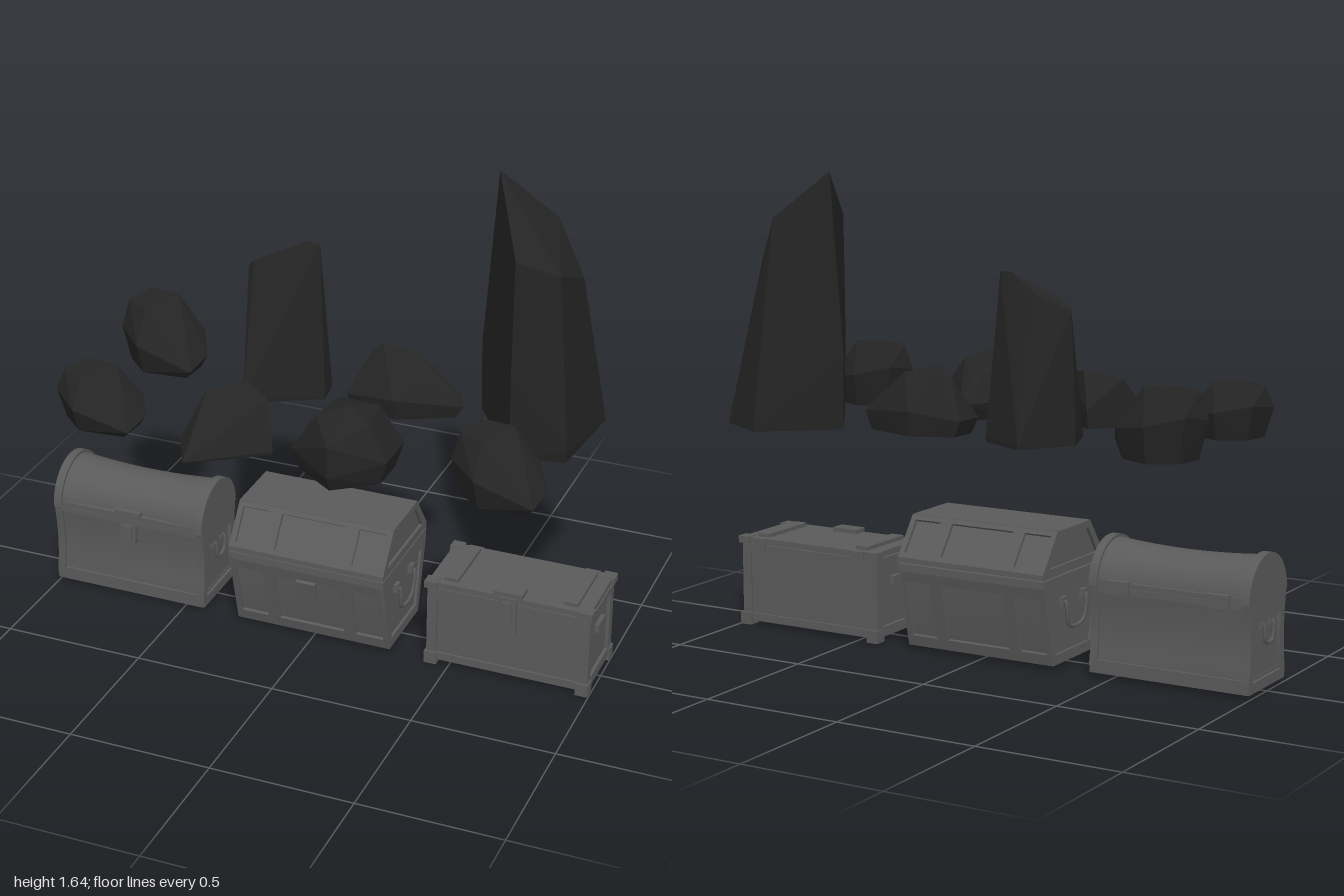
import * as THREE from 'three';
import { toCreasedNormals } from 'three/addons/utils/BufferGeometryUtils.js';
import { ConvexGeometry } from 'three/addons/geometries/ConvexGeometry.js';

const chestMat = new THREE.MeshStandardMaterial({ color: 0x5a5a5a });
const rockMat = new THREE.MeshStandardMaterial({ color: 0x242424, flatShading: true });

function add(parent, name, geo, x = 0, y = 0, z = 0, mat = chestMat) {
  const m = new THREE.Mesh(geo, mat);
  m.name = name;
  m.position.set(x, y, z);
  parent.add(m);
  return m;
}
const box = (parent, name, w, h, d, x, y, z) => add(parent, name, new THREE.BoxGeometry(w, h, d), x, y, z);

function group(parent, name, x = 0) {
  const g = new THREE.Group();
  g.name = name;
  g.position.x = x;
  parent.add(g);
  return g;
}

// Half profile [z, y] from bottom to top, mirrored in z and extruded along x
function prism(half, width, hole) {
  const toShape = h => [...h, ...[...h].reverse().map(([z, y]) => [-z, y])].map(p => new THREE.Vector2(...p));
  const s = new THREE.Shape(toShape(half));
  if (hole) s.holes.push(new THREE.Path(toShape(hole)));
  const g = new THREE.ExtrudeGeometry(s, { depth: width, bevelEnabled: false });
  return toCreasedNormals(g.translate(0, 0, -width / 2).rotateY(Math.PI / 2), 0.5);
}

function rect(path, x, y, w, h) {
  path.moveTo(x - w / 2, y - h / 2);
  path.lineTo(x + w / 2, y - h / 2);
  path.lineTo(x + w / 2, y + h / 2);
  path.lineTo(x - w / 2, y + h / 2);
  path.closePath();
  return path;
}

// Flat plate with rectangular openings [x, y, w, h], facing +z with its face at z = 0
function frame(w, h, holes, depth) {
  const s = rect(new THREE.Shape(), 0, 0, w, h);
  holes.forEach(o => s.holes.push(rect(new THREE.Path(), ...o)));
  return new THREE.ExtrudeGeometry(s, { depth, bevelEnabled: false }).translate(0, 0, -depth);
}

// Shield-shaped lock plate
function lockPlate(w, h, depth) {
  const s = new THREE.Shape();
  s.moveTo(-w / 2, h / 2);
  s.lineTo(-w / 2, -h / 5);
  s.quadraticCurveTo(-w / 2, -h / 2, 0, -h / 2);
  s.quadraticCurveTo(w / 2, -h / 2, w / 2, -h / 5);
  s.lineTo(w / 2, h / 2);
  return new THREE.ExtrudeGeometry(s, { depth, bevelEnabled: false });
}

// Hanging U handle on an end face
function handle(parent, side, x, y, halfWidth, drop) {
  const pts = [[0, halfWidth], [0.012, halfWidth], [0.014, halfWidth * 0.7, drop], [0.014, -halfWidth * 0.7, drop],
    [0.012, -halfWidth], [0, -halfWidth]].map(([dx, z, d = 0]) => new THREE.Vector3(side * (x + dx), y - d, z));
  add(parent, 'handle', new THREE.TubeGeometry(new THREE.CatmullRomCurve3(pts), 24, 0.007, 6));
  for (const z of [-halfWidth, halfWidth]) box(parent, 'handleMount', 0.02, 0.03, 0.03, side * x, y, z);
}

// Half barrel along x, pinched in the middle
function barrel(r, length, pinch) {
  const g = new THREE.CylinderGeometry(r, r, length, 24, 12, false, 0, Math.PI).rotateZ(Math.PI / 2);
  const p = g.attributes.position;
  for (let i = 0; i < p.count; i++) {
    const t = p.getX(i) / (length / 2), k = 1 - pinch * (1 - t * t);
    p.setXYZ(i, p.getX(i), p.getY(i) * k, p.getZ(i) * k);
  }
  return toCreasedNormals(g, 0.6);
}

function barrelChest(root) {
  const g = group(root, 'barrelChest', -0.71);
  const side = [[0.135, 0.015], [0.138, 0.05], [0.129, 0.11], [0.126, 0.17], [0.13, 0.24], [0.14, 0.312]];
  const inset = side.map(([z, y]) => [z - 0.01, y]);
  const opening = side.slice(1, 5).map(([z, y]) => [z - 0.03, y]);
  add(g, 'body', prism(inset, 0.555));
  for (const s of [-1, 1]) {
    add(g, 'endFrame', prism(side, 0.027, opening), s * 0.2765);
    add(g, 'lidBand', barrel(0.146, 0.03, 0), s * 0.275, 0.312);
    handle(g, s, 0.28, 0.23, 0.035, 0.06);
    box(g, 'hinge', 0.08, 0.045, 0.022, s * 0.18, 0.315, -0.145);
  }
  box(g, 'bottomBand', 0.56, 0.045, 0.273, 0, 0.0375, 0);
  box(g, 'topBand', 0.56, 0.02, 0.275, 0, 0.302, 0);
  add(g, 'lid', barrel(0.138, 0.55, 0.11), 0, 0.312);
  box(g, 'lidRim', 0.56, 0.018, 0.275, 0, 0.322, 0);
  box(g, 'latch', 0.1, 0.02, 0.02, 0, 0.337, 0.135);
  add(g, 'lockPlate', lockPlate(0.06, 0.085, 0.02), 0, 0.252, 0.122);
  add(g, 'lockTongue', lockPlate(0.035, 0.06, 0.008), 0, 0.26, 0.142);
}

function slopedChest(root) {
  const g = group(root, 'slopedChest');
  const body = [[0.14, 0.015], [0.208, 0.29], [0.208, 0.314]];
  const lid = [[0.21, 0.32], [0.21, 0.338], [0.112, 0.47]];
  const shrink = (pr, d) => pr.map(([z, y]) => [z - d, y]);
  add(g, 'body', prism(shrink(body, 0.012), 0.55));
  add(g, 'lid', prism([[0.197, 0.32], [0.197, 0.338], [0.1, 0.465]], 0.55));
  box(g, 'lidTop', 0.57, 0.014, 0.226, 0, 0.463, 0);
  box(g, 'lidRim', 0.57, 0.018, 0.42, 0, 0.329, 0);
  box(g, 'bodyRim', 0.57, 0.026, 0.416, 0, 0.302, 0);
  const panels = h => [[-0.215, 0, 0.1, h], [0, 0, 0.24, h], [0.215, 0, 0.1, h]];
  for (const turn of [0, Math.PI]) {
    const f = group(g, turn ? 'backPanels' : 'frontPanels');
    f.rotation.y = turn;
    add(f, 'bodyFrame', frame(0.57, 0.283, panels(0.205), 0.012), 0, 0.1525, 0.174).rotation.x = Math.atan2(0.068, 0.275);
    add(f, 'lidFrame', frame(0.57, 0.164, panels(0.125), 0.012), 0, 0.404, 0.161).rotation.x = -Math.atan2(0.098, 0.132);
  }
  for (const s of [-1, 1]) {
    add(g, 'bodyEndFrame', prism(body, 0.014, [[0.118, 0.05], [0.165, 0.255]]), s * 0.278);
    add(g, 'lidEndFrame', prism(lid, 0.014, [[0.165, 0.35], [0.1, 0.445]]), s * 0.278);
    handle(g, s, 0.28, 0.225, 0.07, 0.085);
  }
  add(g, 'lockPlate', lockPlate(0.07, 0.07, 0.02), 0, 0.222, 0.185).rotation.x = 0.24;
}

function strongbox(root) {
  const g = group(root, 'strongbox', 0.705);
  box(g, 'body', 0.55, 0.285, 0.256, 0, 0.1575, 0);
  box(g, 'lid', 0.57, 0.02, 0.28, 0, 0.31, 0);
  for (const turn of [0, Math.PI]) {
    const f = group(g, turn ? 'backFrame' : 'frontFrame');
    f.rotation.y = turn;
    add(f, 'sideFrame', frame(0.57, 0.28, [[0, 0, 0.505, 0.225]], 0.01), 0, 0.155, 0.137);
  }
  for (const s of [-1, 1]) {
    add(g, 'endFrame', frame(0.274, 0.28, [[0, 0.005, 0.2, 0.22]], 0.014), s * 0.287, 0.155, 0).rotation.y = s * Math.PI / 2;
    box(g, 'endHandle', 0.02, 0.03, 0.075, s * 0.28, 0.205, 0);
    box(g, 'lidStrap', 0.05, 0.016, 0.23, s * 0.21, 0.325, 0);
    box(g, 'hinge', 0.05, 0.04, 0.012, s * 0.21, 0.3, -0.14);
    for (const z of [-1, 1]) {
      box(g, 'foot', 0.045, 0.045, 0.045, s * 0.27, 0.0225, z * 0.125);
      box(g, 'lidCorner', 0.045, 0.025, 0.045, s * 0.2725, 0.31, z * 0.1275);
    }
  }
  box(g, 'latchTop', 0.1, 0.02, 0.055, 0, 0.326, 0.115);
  box(g, 'latchPlate', 0.065, 0.145, 0.012, 0, 0.248, 0.143);
  box(g, 'latchTongue', 0.035, 0.07, 0.008, 0, 0.27, 0.151);
  add(g, 'latchPin', new THREE.CylinderGeometry(0.008, 0.008, 0.015, 10).rotateX(Math.PI / 2), 0, 0.252, 0.153);
}

// Convex stone: widest outline and crown points as [x, z, y]; the outline shrinks to a flat base
function rock(root, name, outline, crown, shrink) {
  const cx = outline.reduce((a, p) => a + p[0], 0) / outline.length;
  const cz = outline.reduce((a, p) => a + p[1], 0) / outline.length;
  const base = outline.map(([x, z]) => [cx + (x - cx) * shrink, cz + (z - cz) * shrink, 0.775]);
  const pts = [...outline, ...crown, ...base].map(([x, z, y]) => new THREE.Vector3(x, y, z));
  add(root, name, new ConvexGeometry(pts), 0, 0, 0, rockMat);
}

// Rounded boulder, sloping down to +x; h scales its height
function boulder(root, name, x, z, h, depth) {
  const at = pts => pts.map(([px, pz, py]) => [x + px, z + pz * depth, 0.775 + py * h]);
  rock(root, name,
    at([[-0.02, -0.145, 0.12], [0.11, -0.085, 0.1], [0.155, 0, 0.05], [0.145, 0.125, 0.035],
      [-0.05, 0.145, 0.11], [-0.158, 0.04, 0.13], [-0.135, -0.085, 0.15]]),
    at([[-0.135, 0.02, 0.225], [-0.09, -0.06, 0.245], [0.02, -0.06, 0.24], [0.08, 0.02, 0.15], [-0.05, 0.07, 0.225]]), 0.82);
}

export function createModel() {
  const root = new THREE.Group();
  root.name = 'chestsAndRocks';
  barrelChest(root);
  slopedChest(root);
  strongbox(root);

  boulder(root, 'boulderBackLeft', -0.71, -0.222, 1, 1);
  boulder(root, 'boulderFrontLeft', -0.71, 0.273, 0.78, 0.94);
  boulder(root, 'boulderFrontRight', 0.71, 0.273, 0.95, 0.94);

  rock(root, 'tallSpire',
    [[0.685, -0.48, 0.775], [0.865, -0.375, 0.775], [0.84, -0.01, 0.82], [0.65, 0.026, 1.07], [0.443, -0.29, 1.02]],
    [[0.48, -0.31, 1.645], [0.65, 0.02, 1.475], [0.78, -0.05, 1.42], [0.8, -0.25, 1.34], [0.67, -0.37, 1.487]], 0.97);
  rock(root, 'ridgeSpire',
    [[-0.26, -0.335, 0.79], [-0.09, -0.25, 0.79], [-0.075, -0.15, 0.79], [-0.325, -0.015, 0.79], [-0.38, -0.165, 0.82]],
    [[-0.11, -0.19, 1.335], [-0.16, -0.2, 1.335], [-0.345, -0.17, 1.245], [-0.37, -0.18, 1.22], [-0.26, -0.22, 1.27]], 0.99);
  rock(root, 'wedgeRock',
    [[-0.26, 0.13, 0.84], [-0.075, 0.3, 0.79], [-0.325, 0.47, 0.78], [-0.4, 0.33, 0.79]],
    [[-0.22, 0.18, 0.966], [-0.34, 0.24, 0.94], [-0.12, 0.24, 0.95]], 0.97);
  rock(root, 'pointedRock',
    [[0.18, -0.305, 0.86], [0.395, -0.235, 0.84], [0.415, -0.19, 0.82], [0.2, -0.085, 0.85], [0.017, -0.12, 0.83], [0.02, -0.235, 0.83]],
    [[0.08, -0.19, 0.97], [0.12, -0.2, 1.005], [0.245, -0.22, 0.98], [0.28, -0.17, 0.91]], 0.88);
  rock(root, 'roundRock',
    [[0.19, 0.045, 0.83], [0.35, 0.2, 0.86], [0.35, 0.36, 0.86], [0.19, 0.48, 0.83], [0.19, 0.478, 0.94], [0.015, 0.36, 0.85], [0.015, 0.2, 0.85]],
    [[0.19, 0.11, 0.91], [0.12, 0.19, 0.98], [0.26, 0.19, 0.975], [0.19, 0.29, 1.01], [0.1, 0.35, 0.98], [0.28, 0.35, 0.98], [0.19, 0.4, 0.98]], 0.85);
  return root;
}
